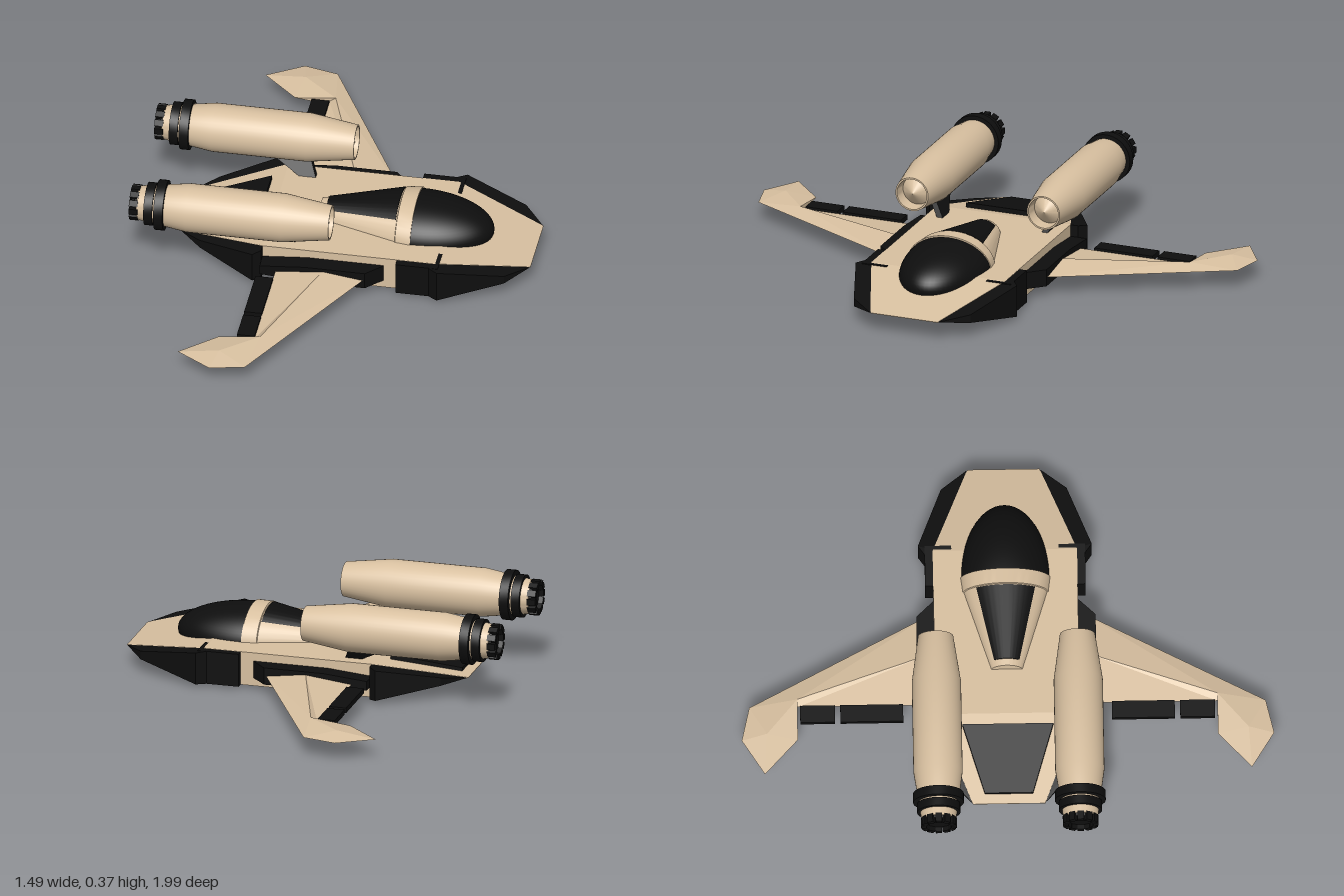
import * as THREE from 'three';
import { toCreasedNormals } from 'three/addons/utils/BufferGeometryUtils.js';
import { ConvexGeometry } from 'three/addons/geometries/ConvexGeometry.js';

const MID = 0.075; // height of the hull's waterline
const tan = new THREE.MeshStandardMaterial({ color: 0xd8c0a0 });
const black = new THREE.MeshStandardMaterial({ color: 0x0e0e0e });

function add(parent, name, geometry, material) {
  const mesh = new THREE.Mesh(geometry, material);
  mesh.name = name;
  parent.add(mesh);
  return mesh;
}

// Convex solid from [x, halfHeight, z] points, mirrored above and below the waterline
function slab(points) {
  return new ConvexGeometry(points.flatMap(([x, h, z]) => [
    new THREE.Vector3(x, MID + h, z), new THREE.Vector3(x, MID - h, z)]));
}

const bothSides = (points) => points.flatMap(([x, h, z]) => [[x, h, z], [x, h, -z]]);

function box(x0, x1, y0, y1, z0, z1) {
  return new THREE.BoxGeometry(x1 - x0, y1 - y0, z1 - z0)
    .translate((x0 + x1) / 2, (y0 + y1) / 2, (z0 + z1) / 2);
}

// Loft of elliptical arches; each section is [x, halfWidth, baseY, topY]
function archLoft(sections, a0, a1, steps = 32) {
  const pos = [], index = [], n = steps + 1;
  sections.forEach(([x, w, base, top], i) => {
    for (let j = 0; j <= steps; j++) {
      const a = a0 + (a1 - a0) * j / steps;
      pos.push(x, base + (top - base) * Math.sin(a), w * Math.cos(a));
      if (i < sections.length - 1 && j < steps) {
        const p = i * n + j;
        index.push(p, p + n, p + 1, p + 1, p + n, p + n + 1);
      }
    }
  });
  const g = new THREE.BufferGeometry();
  g.setAttribute('position', new THREE.Float32BufferAttribute(pos, 3));
  g.setIndex(index);
  return toCreasedNormals(g, 0.5);
}

// Surface of revolution along x from [x, radius] points, rear to front
function turned(points) {
  const g = new THREE.LatheGeometry(points.map(([x, r]) => new THREE.Vector2(r, x)), 40);
  return toCreasedNormals(g.rotateZ(-Math.PI / 2), 0.5);
}

// Faceted wing blade: sharp outline with a raised ridge above and below
function wingGeometry() {
  const p = {
    A: [0.16, 0, 0.3], B: [-0.19, 0, 0.965], C: [-0.32, 0, 0.995], D: [-0.455, 0, 0.91],
    E: [-0.32, 0, 0.785], F: [-0.19, 0, 0.785], G: [-0.19, 0, 0.3],
    r: [0, 0.022, 0.3], s: [-0.165, 0.018, 0.785], t: [-0.3, 0.018, 0.9],
  };
  const faces = ['Ars', 'AsB', 'Bst', 'BtC', 'CtD', 'DtE', 'Ets', 'EsF', 'Fsr', 'FrG'];
  const pos = [];
  for (const side of [1, -1]) {
    for (const face of faces) {
      const corners = side > 0 ? [...face] : [...face].reverse();
      for (const k of corners) pos.push(p[k][0], MID + side * p[k][1], p[k][2]);
    }
  }
  const g = new THREE.BufferGeometry();
  g.setAttribute('position', new THREE.Float32BufferAttribute(pos, 3));
  g.computeVertexNormals();
  return g;
}

function engine() {
  const g = new THREE.Group();
  g.name = 'engine';
  // Nacelle with recessed intake and inner cone
  add(g, 'nacelle', turned([[-0.72, 0], [-0.72, 0.064], [-0.61, 0.08], [-0.53, 0.092], [-0.17, 0.092],
    [0.01, 0.066], [0.01, 0.06], [-0.04, 0.056], [0.005, 0]]), tan);
  add(g, 'largeRing', turned([[-0.65, 0.07], [-0.65, 0.095], [-0.615, 0.095], [-0.615, 0.07]]), black);
  add(g, 'smallRing', turned([[-0.69, 0.06], [-0.69, 0.081], [-0.657, 0.081], [-0.657, 0.06]]), black);
  add(g, 'nozzle', turned([[-0.73, 0], [-0.73, 0.056], [-0.715, 0.06]]), black);
  // Ring of exhaust petals
  for (let i = 0; i < 12; i++) {
    const petal = add(g, 'exhaustPetal', box(-0.748, -0.715, 0.046, 0.067, -0.012, 0.012), black);
    petal.rotation.x = i * Math.PI / 6;
  }
  g.position.set(0, 0.275, 0.265);
  return g;
}

// Everything on the +z flank
function flank(sign) {
  const g = new THREE.Group();
  g.name = sign > 0 ? 'leftFlank' : 'rightFlank';
  g.scale.z = sign;

  // Side armour, fore and aft
  add(g, 'frontArmourBlock', box(0.26, 0.42, 0.011, 0.139, 0.2, 0.3), black);
  add(g, 'frontArmour', slab([[0.385, 0.064, 0.2], [0.385, 0.064, 0.3], [0.42, 0.062, 0.325],
    [0.66, 0.016, 0.235], [0.738, 0.001, 0.14], [0.66, 0.012, 0.12]]), black);
  add(g, 'rearArmour', slab([[-0.25, 0.064, 0.2], [-0.25, 0.064, 0.3], [-0.28, 0.059, 0.325],
    [-0.5, 0.016, 0.21], [-0.58, 0.001, 0.14], [-0.5, 0.012, 0.12]]), black);

  // Wing, its root fairing and flaps
  add(g, 'wingRoot', slab([[0.21, 0.033, 0.26], [0.21, 0.033, 0.272], [0.15, 0.033, 0.335],
    [-0.08, 0.033, 0.335], [-0.08, 0.033, 0.26], [-0.25, 0.018, 0.335], [-0.25, 0.018, 0.26]]), black);
  add(g, 'wing', wingGeometry(), tan);
  for (const [z0, z1] of [[0.39, 0.625], [0.645, 0.775]])
    add(g, 'flap', box(-0.255, -0.188, MID - 0.01, MID + 0.01, z0, z1), black);

  // Engine on a slanted pylon
  g.add(engine());
  const pylon = [[-0.31, 0.2, 0.25], [-0.16, 0.2, 0.25], [-0.13, 0.13, 0.205], [-0.18, 0.13, 0.205]];
  add(g, 'pylon', new ConvexGeometry(pylon.flatMap(([x, y, z]) => [
    new THREE.Vector3(x, y, z - 0.012), new THREE.Vector3(x, y, z + 0.012)])), black);
  return g;
}

export function createModel() {
  const model = new THREE.Group();
  model.name = 'spacecraft';

  // Wedge-ended hull
  add(model, 'hull', slab(bothSides([[0.743, 0.001, 0.135], [0.4, 0.065, 0.27],
    [-0.25, 0.065, 0.27], [-0.587, 0.001, 0.135]])), tan);
  // Dark plates on the tail slopes, above and below
  add(model, 'tailPlates', slab(bothSides([[-0.295, 0.075, 0.17], [-0.55, 0.021, 0.09]])), black);

  // Cockpit housing, rear window and canopy
  add(model, 'cockpitHousing', archLoft([[-0.075, 0, 0.125, 0.125], [-0.075, 0.06, 0.125, 0.183],
    [0.23, 0.157, 0.125, 0.237], [0.232, 0.161, 0.125, 0.243], [0.29, 0.169, 0.125, 0.243],
    [0.29, 0, 0.125, 0.125]], 0, Math.PI), tan);
  add(model, 'rearWindow', archLoft([[-0.05, 0, 0.14, 0.14], [-0.05, 0.068, 0.125, 0.192],
    [0.226, 0.158, 0.125, 0.241], [0.226, 0, 0.14, 0.14]], 0.8, Math.PI - 0.8), black);
  const canopy = new THREE.SphereGeometry(1, 32, 24, Math.PI / 2, Math.PI, 0, Math.PI * 0.75);
  add(model, 'canopy', canopy.scale(0.292, 0.112, 0.166).translate(0.288, 0.125, 0), black);

  model.add(flank(1), flank(-1));
  return model;
}
